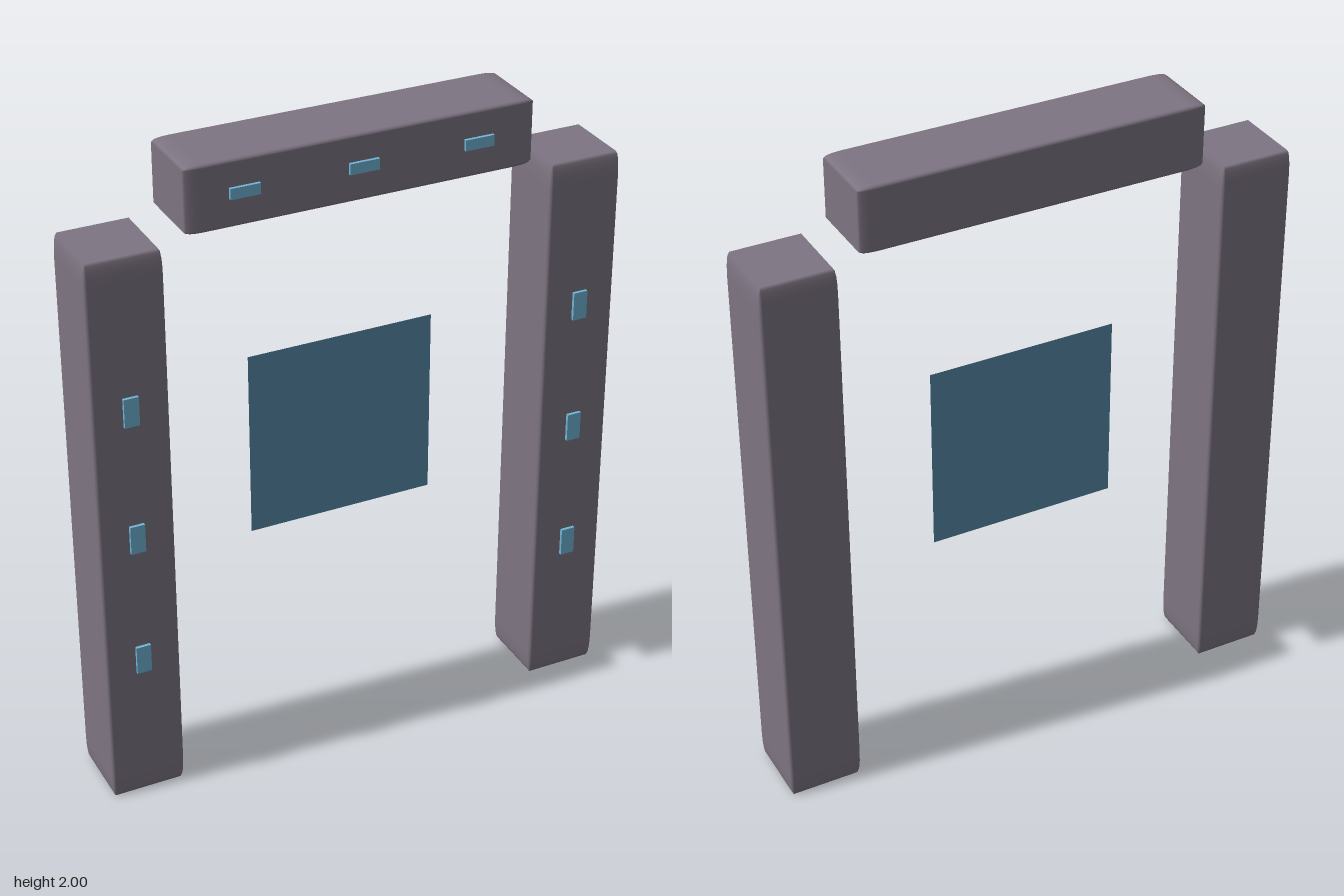
import * as THREE from 'three';
import { RoundedBoxGeometry } from 'three/addons/geometries/RoundedBoxGeometry.js';

const DEPTH = 0.23;
const MID_Z = -0.005;

export function createModel() {
  const model = new THREE.Group();
  model.name = 'gateway';

  const stone = new THREE.MeshStandardMaterial({ color: 0x7d7582 });
  const glow = new THREE.MeshStandardMaterial({ color: 0x70b4d6 });
  const field = new THREE.MeshStandardMaterial({ color: 0x5789aa, side: THREE.DoubleSide });

  function add(name, geometry, material, x, y, z) {
    const mesh = new THREE.Mesh(geometry, material);
    mesh.name = name;
    mesh.position.set(x, y, z);
    model.add(mesh);
    return mesh;
  }

  // Beam: a softly bevelled block stretched along one axis, so the bevel lengthens at its ends
  function beam(name, w, h, x, y) {
    const unit = Math.min(w, h);
    const geometry = new RoundedBoxGeometry(unit, unit, DEPTH, 2, 0.01);
    add(name, geometry, stone, x, y, MID_Z).scale.set(w / unit, h / unit, 1);
  }

  // Light: a small plate standing just proud of the front face
  function light(name, w, h, x, y) {
    add(name, new THREE.BoxGeometry(w, h, 0.02), glow, x, y, 0.11);
  }

  // Two pillars, each with three upright lights
  for (const [side, s] of [['left', 1], ['right', -1]]) {
    beam(side + 'Pillar', 0.23, 1.78, s * 0.712, 0.89);
    for (const y of [0.48, 0.895, 1.31]) light(side + 'PillarLight', 0.045, 0.09, s * 0.712, y);
  }

  // Floating lintel with three flat lights
  beam('lintel', 1.065, 0.2, 0, 1.9);
  for (const x of [-0.357, 0, 0.357]) light('lintelLight', 0.09, 0.033, x, 1.903);

  // Thin square sheet hovering in the opening
  add('portalSheet', new THREE.PlaneGeometry(0.59, 0.59), field, 0, 1.01, -0.035);

  return model;
}
